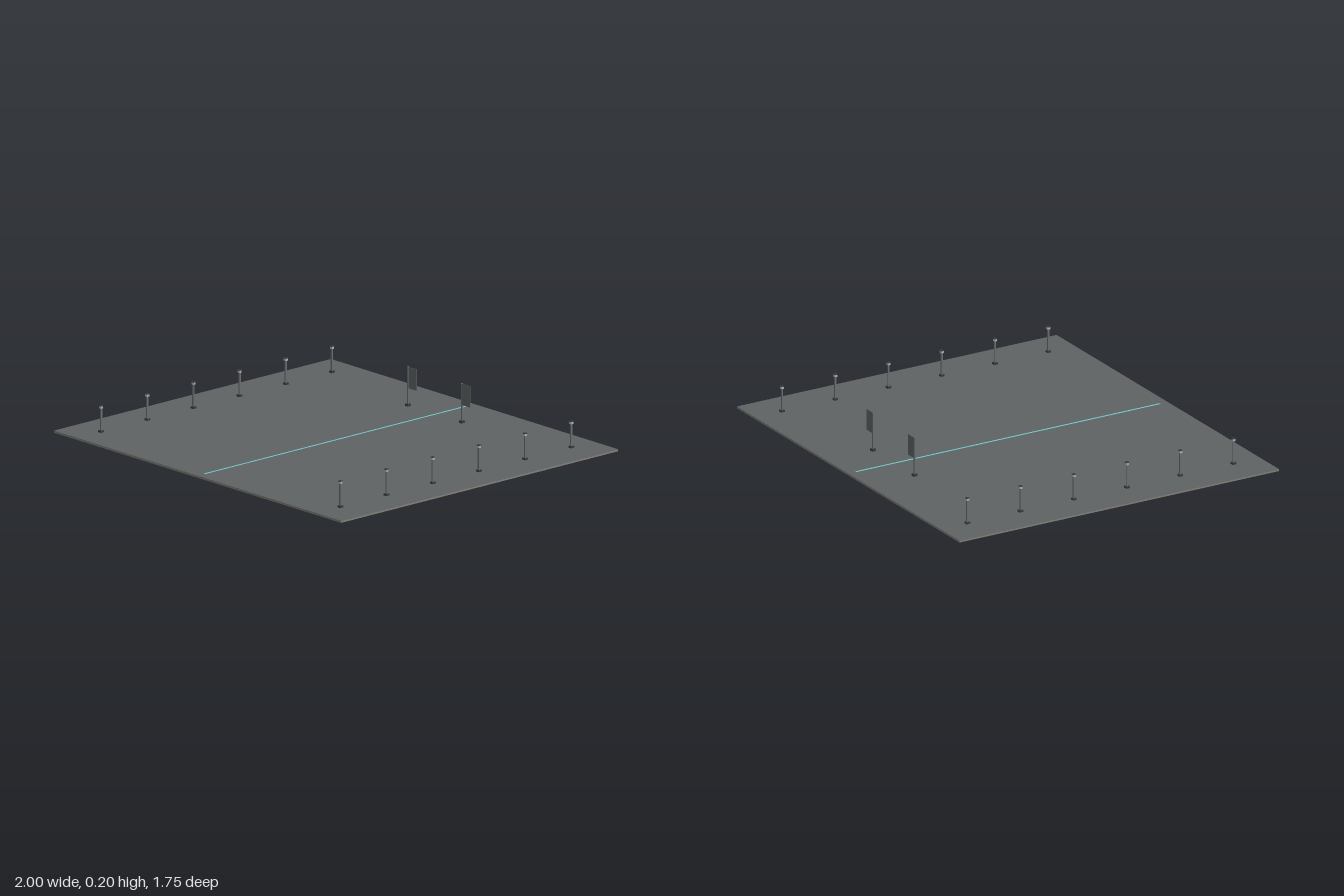
import * as THREE from 'three';

const material = (name, color, side = THREE.FrontSide) => {
  const m = new THREE.MeshStandardMaterial({ color, side });
  m.name = name;
  return m;
};

export function createModel() {
  const root = new THREE.Group();
  root.name = 'plaza';
  const concrete = material('warm concrete', 0x807f78);
  const paving = material('paving grey', 0x5e6363);
  const metal = material('dark metal', 0x383c3e);
  const pole = material('pole grey', 0x6a6f71);
  const light = material('pale lamp', 0xa4b6b6);
  const cloth = material('banner grey', 0x606465, THREE.DoubleSide);
  const cyan = material('cyan strip', 0x74cdd2);

  // Box standing on height y
  const box = (parent, name, mat, w, h, d, x, y, z) => {
    const mesh = new THREE.Mesh(new THREE.BoxGeometry(w, h, d), mat);
    mesh.name = name;
    mesh.position.set(x, y + h / 2, z);
    parent.add(mesh);
  };
  const group = (name, x, z) => {
    const g = new THREE.Group();
    g.name = name;
    g.position.set(x, 0, z);
    root.add(g);
    return g;
  };

  // Concrete slab with a thin paved top and centre strip
  const top = 0.01;
  box(root, 'groundSlab', concrete, 2, 0.009, 1.75, 0, 0, 0);
  box(root, 'paving', paving, 2, 0.001, 1.75, 0, 0.009, 0);
  box(root, 'centreStrip', cyan, 0.009, 0.001, 1.666, 0, top, 0);

  // Two rows of lamp posts
  for (const side of [-1, 1]) {
    for (let i = 0; i < 6; i++) {
      const lamp = group('lampPost', side * 0.833, -0.73 + i * 0.2915);
      box(lamp, 'lampBase', metal, 0.02, 0.009, 0.02, 0, top, 0);
      box(lamp, 'lampPole', pole, 0.008, 0.107, 0.008, 0, top + 0.009, 0);
      box(lamp, 'lampHead', light, 0.014, 0.011, 0.014, 0, 0.126, 0);
      box(lamp, 'lampCap', metal, 0.016, 0.003, 0.016, 0, 0.137, 0);
    }
  }

  // Pair of banners near the back
  for (const x of [-0.187, 0.187]) {
    const banner = group('banner', x, -0.625);
    box(banner, 'bannerBase', metal, 0.02, 0.011, 0.02, 0, top, 0);
    box(banner, 'bannerPole', pole, 0.007, 0.182, 0.007, 0, top + 0.011, 0);
    box(banner, 'bannerCloth', cloth, 0.056, 0.104, 0.002, 0.0315, 0.097, 0);
  }
  return root;
}
